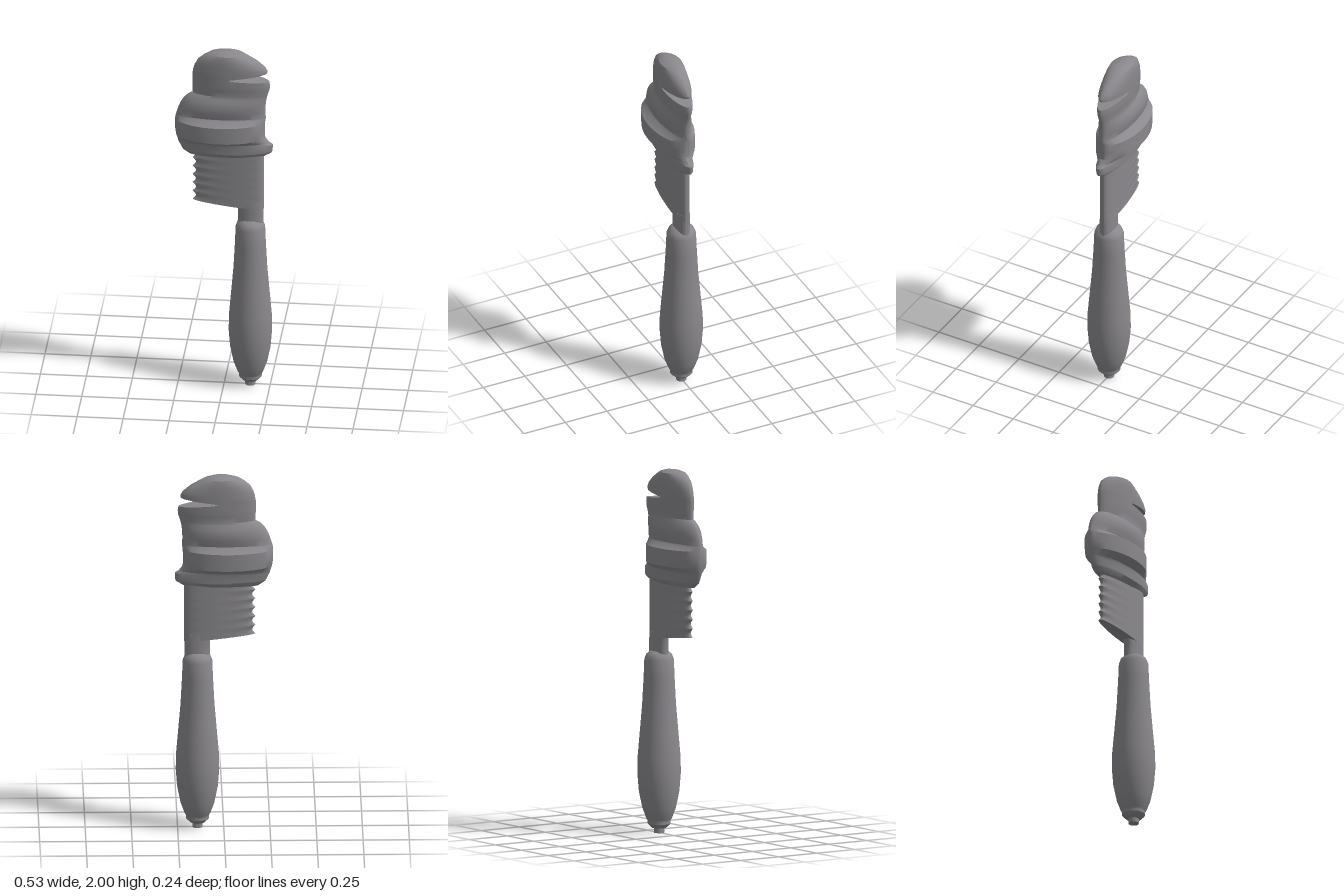
import * as THREE from 'three';
import { toCreasedNormals } from 'three/addons/utils/BufferGeometryUtils.js';

const SEG = 56;

// Stacks lens-shaped sections.
// Row: [y, left x, right x, half depth, lift at the right end, x where the lift begins, x to clip at]
function loft(rows, { shift = 0, power = 1.2, crease = 0.6, capRise = 0 } = {}) {
  const pos = [], index = [];
  rows.forEach(([y, xl, xr, hz, lift = 0, x0 = 0, clip = 9]) => {
    const cx = (xl + xr) / 2, a = (xr - xl) / 2;
    for (let j = 0; j < SEG; j++) {
      const t = (j / SEG) * Math.PI * 2, s = Math.sin(t);
      const x = Math.min(clip, cx + a * (Math.cos(t) + shift * s * s));
      const rise = lift * THREE.MathUtils.clamp((x - x0) / (xr - x0), 0, 1);
      pos.push(x, y + rise, hz * Math.sign(s) * Math.abs(s) ** power);
    }
  });
  for (let i = 0; i < rows.length - 1; i++) {
    for (let j = 0; j < SEG; j++) {
      const a = i * SEG + j, b = i * SEG + (j + 1) % SEG;
      index.push(a, a + SEG, b, b, a + SEG, b + SEG);
    }
  }
  // End caps
  const last = rows.length - 1;
  for (const i of [0, last]) {
    const [y, xl, xr, , lift = 0] = rows[i];
    const c = pos.length / 3;
    pos.push((xl + xr) / 2, y + lift / 2 + (i ? capRise : 0), 0);
    for (let j = 0; j < SEG; j++) {
      const a = i * SEG + j, b = i * SEG + (j + 1) % SEG;
      if (i) index.push(c, b, a);
      else index.push(c, a, b);
    }
  }
  const g = new THREE.BufferGeometry();
  g.setAttribute('position', new THREE.Float32BufferAttribute(pos, 3));
  g.setIndex(index);
  return toCreasedNormals(g, crease);
}

export function createModel() {
  const group = new THREE.Group();
  const grey = new THREE.MeshStandardMaterial({ color: 0x8a888c });
  grey.name = 'grey';
  const add = (name, geometry) => {
    const m = new THREE.Mesh(geometry, grey);
    m.name = name;
    group.add(m);
    return m;
  };

  // Turned handle with a small end knob
  const profile = [
    [0, 0], [0.028, 0], [0.028, 0.025], [0.04, 0.028], [0.062, 0.05], [0.062, 0.068],
    [0.07, 0.08], [0.092, 0.14], [0.11, 0.23], [0.118, 0.33], [0.116, 0.42], [0.103, 0.57],
    [0.092, 0.7], [0.084, 0.85], [0.08, 0.95], [0.07, 0.977], [0.046, 0.995], [0, 1.0],
  ].map(([r, y]) => new THREE.Vector2(r, y));
  add('handle', toCreasedNormals(new THREE.LatheGeometry(profile, 40), 0.6)).position.x = 0.142;

  // Neck between handle and blade
  add('neck', loft([
    [0.97, 0.075, 0.213, 0.04], [1.06, 0.075, 0.213, 0.04], [1.1, 0.06, 0.213, 0.038],
  ], { power: 0.9 }));

  // Blade with a scalloped edge and slanted lower end
  const blade = [];
  const TEETH = 6, STEPS = 6;
  for (let i = 0; i <= TEETH * STEPS; i++) {
    const u = i / (TEETH * STEPS);
    const bite = 0.018 * Math.abs(Math.sin(u * TEETH * Math.PI));
    blade.push([1.1 + u * 0.3, -0.172 + bite, 0.215, 0.04, -0.04 * (1 - u), -0.17]);
  }
  add('blade', loft(blade, { shift: 0.25, power: 0.9 }));

  // Head: collar, wide band, swelling, then two jaws split by a notch
  add('head', loft([
    [1.375, -0.19, 0.215, 0.042],
    [1.4, -0.225, 0.258, 0.065],
    [1.408, -0.23, 0.262, 0.066],
    [1.448, -0.25, 0.265, 0.066],
    [1.46, -0.253, 0.245, 0.07],
    [1.488, -0.262, 0.222, 0.115],
    [1.53, -0.268, 0.221, 0.116],
    [1.582, -0.268, 0.222, 0.115],
    [1.605, -0.264, 0.226, 0.073],
    [1.612, -0.262, 0.226, 0.068],
    [1.645, -0.252, 0.224, 0.076],
    [1.68, -0.238, 0.225, 0.079],
    [1.71, -0.22, 0.228, 0.072],
    [1.732, -0.197, 0.232, 0.062],
    [1.745, -0.172, 0.236, 0.058],
    [1.78, -0.173, 0.247, 0.064],
    [1.805, -0.174, 0.249, 0.066],
    [1.847, -0.174, 0.245, 0.067, -0.02, 0.03],
    [1.848, -0.174, 0.245, 0.067, 0, 0.03, 0.035],
    [1.852, -0.174, 0.235, 0.067, 0, 0.03, 0.035],
    [1.853, -0.174, 0.233, 0.067, 0.022, 0.03],
    [1.89, -0.168, 0.235, 0.067],
    [1.912, -0.161, 0.222, 0.067],
    [1.945, -0.143, 0.182, 0.066],
    [1.97, -0.112, 0.137, 0.063],
    [1.985, -0.085, 0.108, 0.058],
    [1.996, -0.045, 0.07, 0.036],
  ], { capRise: 0.004, power: 1.15 }));

  return group;
}
